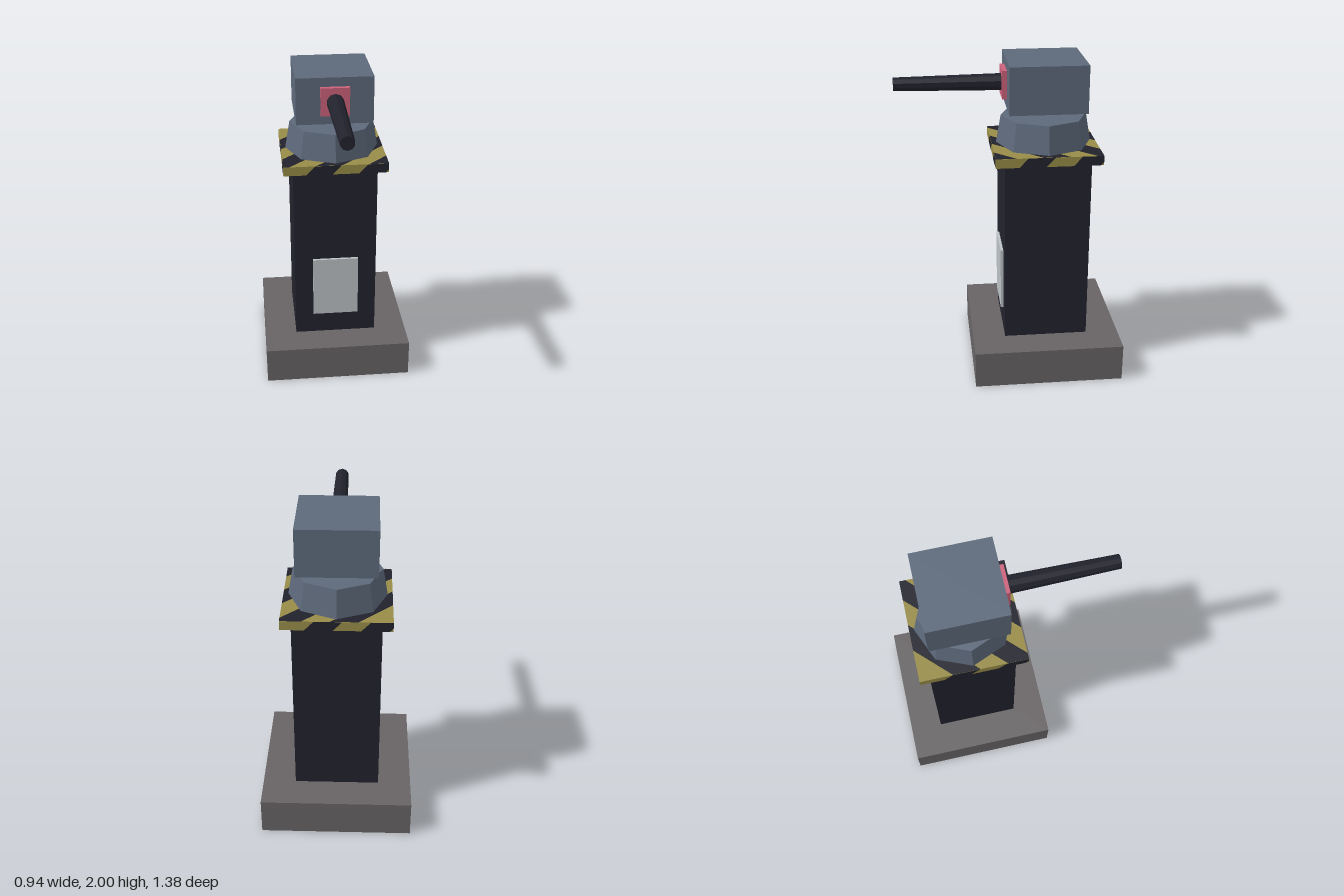
import * as THREE from 'three';
import { mergeGeometries } from 'three/addons/utils/BufferGeometryUtils.js';

const material = (name, color) => {
  const m = new THREE.MeshStandardMaterial({ color, flatShading: true });
  m.name = name;
  return m;
};

// Convex polygon cut to the strip 0 <= x <= w
function clipX(points, w) {
  const cut = (pts, dist) => pts.flatMap((p, i) => {
    const q = pts[(i + 1) % pts.length];
    const a = dist(p), b = dist(q);
    const out = a >= 0 ? [p] : [];
    if (a * b < 0) out.push(p.clone().lerp(q, a / (a - b)));
    return out;
  });
  return cut(cut(points, p => p.x), p => w - p.x);
}

// Diagonal bands on a w x h face centred on the origin, facing +z
function stripes(w, h, first, slant, count) {
  const period = 0.325, width = 0.1625;
  const bands = [];
  for (let i = 0; i < count; i++) {
    const a = first + i * period, b = a + width;
    const pts = clipX([
      new THREE.Vector2(a, 0), new THREE.Vector2(b, 0),
      new THREE.Vector2(b + slant, h), new THREE.Vector2(a + slant, h),
    ], w);
    if (pts.length > 2) bands.push(new THREE.ShapeGeometry(new THREE.Shape(pts)));
  }
  return mergeGeometries(bands).translate(-w / 2, -h / 2, 0);
}

export function createModel() {
  const stone = material('stone grey', 0x686466);
  const dark = material('dark navy', 0x22222d);
  const steel = material('blue steel', 0x5d697b);
  const pale = material('pale panel', 0xbcc2c5);
  const yellow = material('warning yellow', 0x988c48);
  const pink = material('pink mount', 0xcc627b);

  const model = new THREE.Group();
  const axisZ = -0.22;
  const add = (name, geometry, mat, x, y, z, parent = model) => {
    const mesh = new THREE.Mesh(geometry, mat);
    mesh.name = name;
    mesh.position.set(x, y, z);
    parent.add(mesh);
    return mesh;
  };
  const box = (name, mat, w, y0, y1, z0, z1) =>
    add(name, new THREE.BoxGeometry(w, y1 - y0, z1 - z0), mat, 0, (y0 + y1) / 2, (z0 + z1) / 2);

  // Pedestal
  box('base', stone, 0.94, 0, 0.237, -0.69, 0.25);
  box('column', dark, 0.528, 0.237, 1.416, -0.484, 0.044);
  box('accessPanel', pale, 0.294, 0.385, 0.795, 0.04, 0.061);

  // Hazard collar with stripes on every face
  const size = 0.648, height = 0.058, collarY = 1.445, lift = 0.001;
  const collar = new THREE.Group();
  collar.name = 'hazardCollar';
  collar.position.set(0, collarY, axisZ);
  model.add(collar);
  add('collarPlate', new THREE.BoxGeometry(size, height, size), yellow, 0, 0, 0, collar);
  for (let i = 0; i < 4; i++) {
    const side = stripes(size, height, 0.14, 0.055, 2);
    side.translate(0, 0, size / 2 + lift).rotateY(i * Math.PI / 2);
    add('sideStripes', side, dark, 0, 0, 0, collar);
  }
  for (const s of [1, -1]) {
    const face = stripes(size, size, -0.45, size, 4);
    face.translate(0, 0, height / 2 + lift).rotateX(-s * Math.PI / 2);
    add(s > 0 ? 'topStripes' : 'bottomStripes', face, dark, 0, 0, 0, collar);
  }

  // Eight-sided turntable and floating head
  add('turntable', new THREE.CylinderGeometry(0.265, 0.295, 0.175, 8), steel, 0, 1.561, axisZ);
  box('head', steel, 0.472, 1.709, 2, -0.457, 0.014);

  // Gun mount and tapered barrel
  box('barrelMount', pink, 0.176, 1.769, 1.944, 0.01, 0.043);
  const barrel = new THREE.CylinderGeometry(0.042, 0.053, 0.66, 10).rotateX(Math.PI / 2);
  add('barrel', barrel, dark, 0, 1.856, 0.36);

  return model;
}
